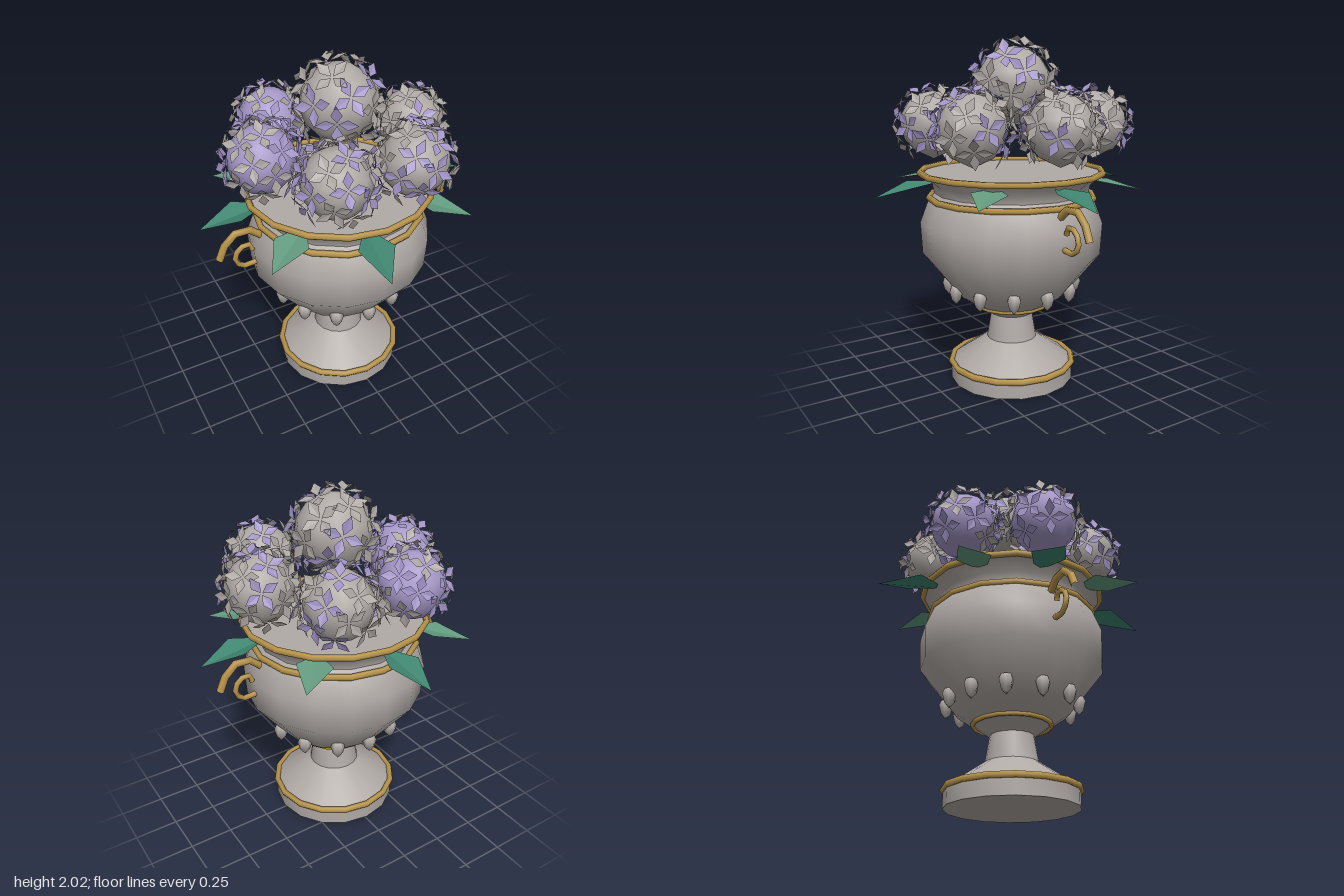
import * as THREE from 'three';
import { mergeGeometries, toCreasedNormals } from 'three/addons/utils/BufferGeometryUtils.js';

const paint = (name, color, side = THREE.FrontSide) => {
  const m = new THREE.MeshStandardMaterial({ color, side });
  m.name = name;
  return m;
};
const both = THREE.DoubleSide;
const lathe = (points, sides) =>
  new THREE.LatheGeometry(points.map(([r, y]) => new THREE.Vector2(r, y)), sides);

// Flat kite in the xz plane pointing along +z, given its four (x, y, z) corners
function kite(base, left, tip, right) {
  const g = new THREE.BufferGeometry();
  g.setAttribute('position', new THREE.Float32BufferAttribute(
    [base, left, tip, base, tip, right].flat(), 3));
  g.computeVertexNormals();
  return g;
}

// Four cupped petals around +y
function flowerGeometry() {
  const petals = [];
  for (let i = 0; i < 4; i++) {
    petals.push(kite([0, 0, 0.006], [-0.027, 0.012, 0.05], [0, 0.018, 0.1], [0.027, 0.012, 0.05])
      .rotateY(i * Math.PI / 2));
  }
  return mergeGeometries(petals.map((p) => p));
}

export function createModel() {
  const model = new THREE.Group();
  model.name = 'flowerUrn';
  const stone = paint('stone grey', 0xb0aaa6);
  const gold = paint('gold', 0xb8944a);
  const lilac = paint('lilac', 0xa597c8);
  const greyPetal = paint('petal grey', 0xaca6a2, both);
  const lilacPetal = paint('petal lilac', 0xa194c6, both);
  const darkLeaf = paint('dark leaf green', 0x3f8570, both);
  const lightLeaf = paint('light leaf green', 0x649c80, both);

  const add = (parent, name, geometry, material) => {
    const mesh = new THREE.Mesh(geometry, material);
    mesh.name = name;
    parent.add(mesh);
    return mesh;
  };

  const urn = new THREE.Group();
  urn.name = 'urn';
  urn.position.set(-0.01, 0, 0.01);
  model.add(urn);

  // Foot, stem, bowl, neck and closed top
  const body = lathe([
    [0, 0], [0.37, 0], [0.37, 0.09], [0.34, 0.12], [0.15, 0.25], [0.125, 0.4],
    [0.2, 0.455], [0.235, 0.475], [0.33, 0.54], [0.525, 0.785], [0.535, 0.97],
    [0.485, 1.1], [0.45, 1.14], [0.46, 1.19], [0.53, 1.25], [0, 1.25],
  ], 16);
  add(urn, 'body', toCreasedNormals(body, 0.75), stone);

  // Gold bands
  for (const [name, r, y, tube] of [
    ['footBand', 0.368, 0.102, 0.019], ['stemBand', 0.22, 0.465, 0.014],
    ['shoulderBand', 0.482, 1.112, 0.018], ['rimBand', 0.532, 1.257, 0.018],
  ]) {
    add(urn, name, new THREE.TorusGeometry(r, tube, 6, 16).rotateX(Math.PI / 2), gold).position.y = y;
  }

  // Ring of drop ornaments under the bowl
  const drop = lathe([[0, -0.06], [0.03, -0.025], [0.042, 0.02], [0.03, 0.05], [0, 0.06]], 6);
  for (let i = 0; i < 12; i++) {
    const a = i * Math.PI / 6;
    add(urn, 'dropOrnament', drop, stone).position.set(Math.sin(a) * 0.375, 0.57, Math.cos(a) * 0.375);
  }

  // Scroll handles: an arched arm over a curl, mirrored to both sides
  const tubeAlong = (points, r, steps) => {
    const curve = new THREE.CatmullRomCurve3(points.map(([x, y]) => new THREE.Vector3(x, y, 0)));
    return new THREE.TubeGeometry(curve, steps, r, 6);
  };
  for (const [side, turn] of [['left', 0], ['right', Math.PI]]) {
    const handle = new THREE.Group();
    handle.name = side + 'Handle';
    handle.rotation.y = turn;
    urn.add(handle);
    add(handle, 'handleArm', tubeAlong([[0.48, 1.06], [0.575, 1.13], [0.675, 1.1], [0.74, 0.98]], 0.022, 4), gold);
    add(handle, 'handleCurl', tubeAlong(
      [[0.51, 0.9], [0.61, 0.895], [0.65, 0.95], [0.62, 1.015], [0.56, 1.025], [0.545, 0.985]], 0.016, 8), gold);
  }

  // Leaves drooping out below the rim: tip angle from +z towards +x, tip radius
  const leaves = [
    [-0.18, 0.82], [0.785, 0.77], [1.53, 0.82], [2.38, 0.74],
    [3.2, 0.82], [3.94, 0.79], [4.62, 0.82], [5.36, 0.8],
  ];
  leaves.forEach(([angle, r], i) => {
    const tipY = i % 2 ? 1.17 : 1.15;
    const g = kite([0, 1.225, 0.42], [-0.1, 1.222, r - 0.21], [0, tipY, r], [0.1, 1.215, r - 0.21]);
    // the winding faces up; both sides show
    add(model, 'leaf', g.rotateY(angle), i % 2 ? lightLeaf : darkLeaf);
  });

  // Blossom balls with a pointed underside, covered in small flowers
  const core = lathe([
    [0, -0.2], [0.115, -0.145], [0.165, -0.085], [0.187, 0], [0.175, 0.065],
    [0.132, 0.132], [0.07, 0.174], [0, 0.187],
  ], 14);
  const flower = flowerGeometry();
  let seed = 7;
  const random = () => (seed = (seed * 16807) % 2147483647) / 2147483647;
  const up = new THREE.Vector3(0, 1, 0);

  function blossomBall(x, y, z, size, coreMaterial) {
    const ball = new THREE.Group();
    ball.name = 'blossomBall';
    ball.position.set(x, y, z);
    ball.scale.setScalar(size);
    model.add(ball);
    add(ball, 'blossomCore', core, coreMaterial);
    const sets = [[], []];
    const count = 24, start = random() * 6;
    for (let i = 0; i < count; i++) {
      const h = 0.97 - 1.6 * i / (count - 1);
      const a = start + i * 2.39996;
      const s = Math.sqrt(1 - h * h);
      const dir = new THREE.Vector3(s * Math.cos(a), h, s * Math.sin(a));
      const q = new THREE.Quaternion().setFromUnitVectors(up, dir);
      const g = flower.clone().rotateY(random() * 6).applyQuaternion(q);
      g.translate(dir.x * 0.202, dir.y * 0.202, dir.z * 0.202);
      sets[random() < 0.42 ? 1 : 0].push(g);
    }
    add(ball, 'greyFlowers', mergeGeometries(sets[0]), greyPetal);
    add(ball, 'lilacFlowers', mergeGeometries(sets[1]), lilacPetal);
  }

  for (let i = 0; i < 6; i++) {
    const a = i * Math.PI / 3;
    blossomBall(Math.cos(a) * 0.46, 1.53, Math.sin(a) * 0.46, 1, i === 3 || i === 4 ? lilac : stone);
  }
  blossomBall(0, 1.752, 0, 1.14, stone);

  return model;
}
